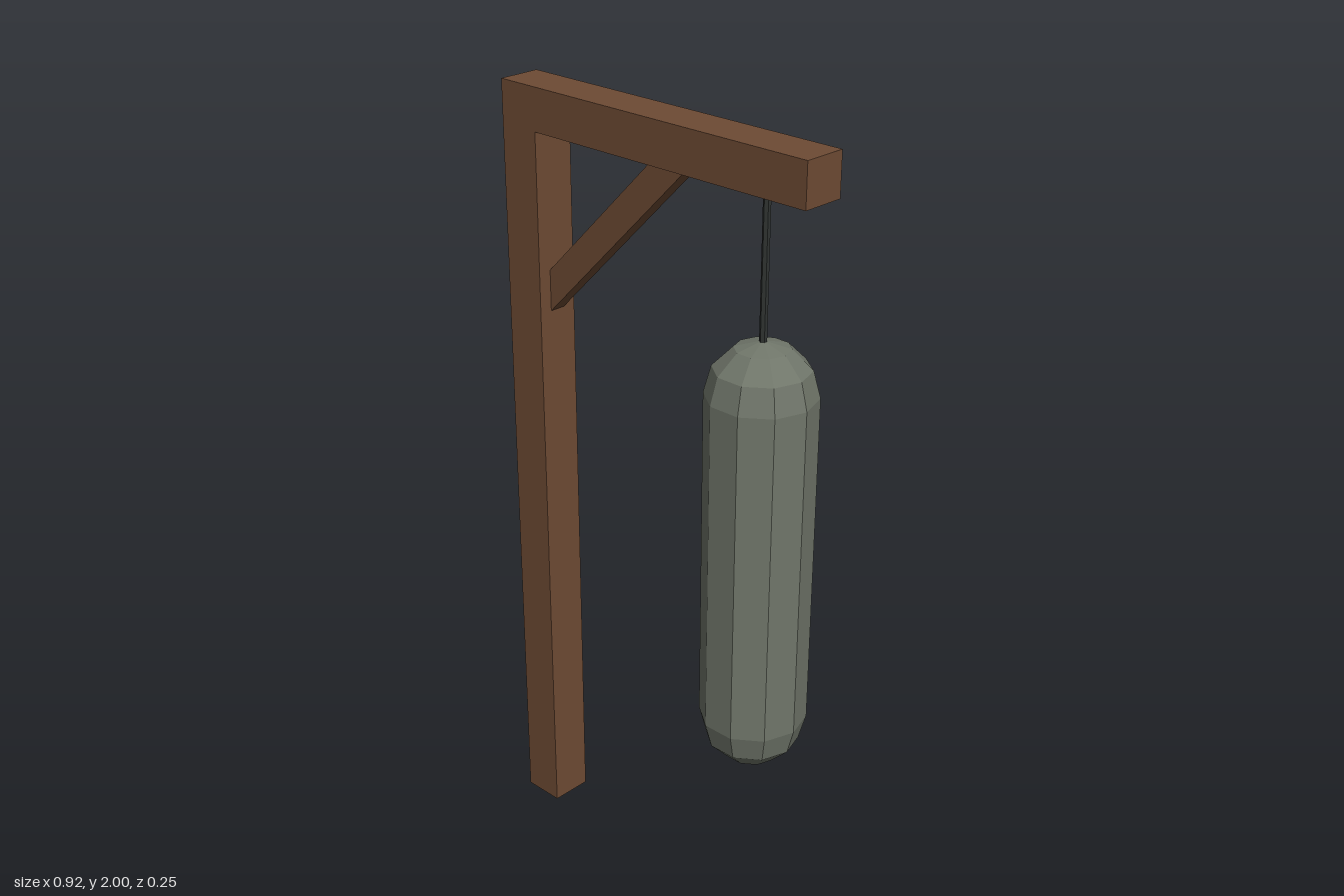
import * as THREE from 'three';

export function createModel() {
  const model = new THREE.Group();

  const material = (name, color) => {
    const m = new THREE.MeshStandardMaterial({ color, flatShading: true });
    m.name = name;
    return m;
  };
  const wood = material('brown wood', 0x6e4b34);
  const canvas = material('grey green canvas', 0x70766a);
  const cord = material('dark cord', 0x303432);

  const add = (name, geometry, mat, x, y, z = 0) => {
    const mesh = new THREE.Mesh(geometry, mat);
    mesh.name = name;
    mesh.position.set(x, y, z);
    model.add(mesh);
    return mesh;
  };

  // Timber frame: upright post, overhanging beam and diagonal brace
  const t = 0.11;
  const top = 2 - 0.105;
  add('post', new THREE.BoxGeometry(t, top, t), wood, -0.461 + t / 2, top / 2);
  add('beam', new THREE.BoxGeometry(0.922, 0.105, t), wood, 0, 2 - 0.0525);
  const brace = add('brace', new THREE.BoxGeometry(0.73, 0.074, 0.042), wood, -0.179, 1.671);
  brace.rotation.z = Math.PI / 4;

  // Hanging rope
  add('rope', new THREE.CylinderGeometry(0.009, 0.009, 0.37, 6), cord, 0.31, 1.725);

  // Ten-sided bag with faceted domed ends
  const r = 0.131;
  add('bag', new THREE.CapsuleGeometry(r, 1.104 - 2 * r, 3, 10), canvas, 0.31, 1.002);

  return model;
}
